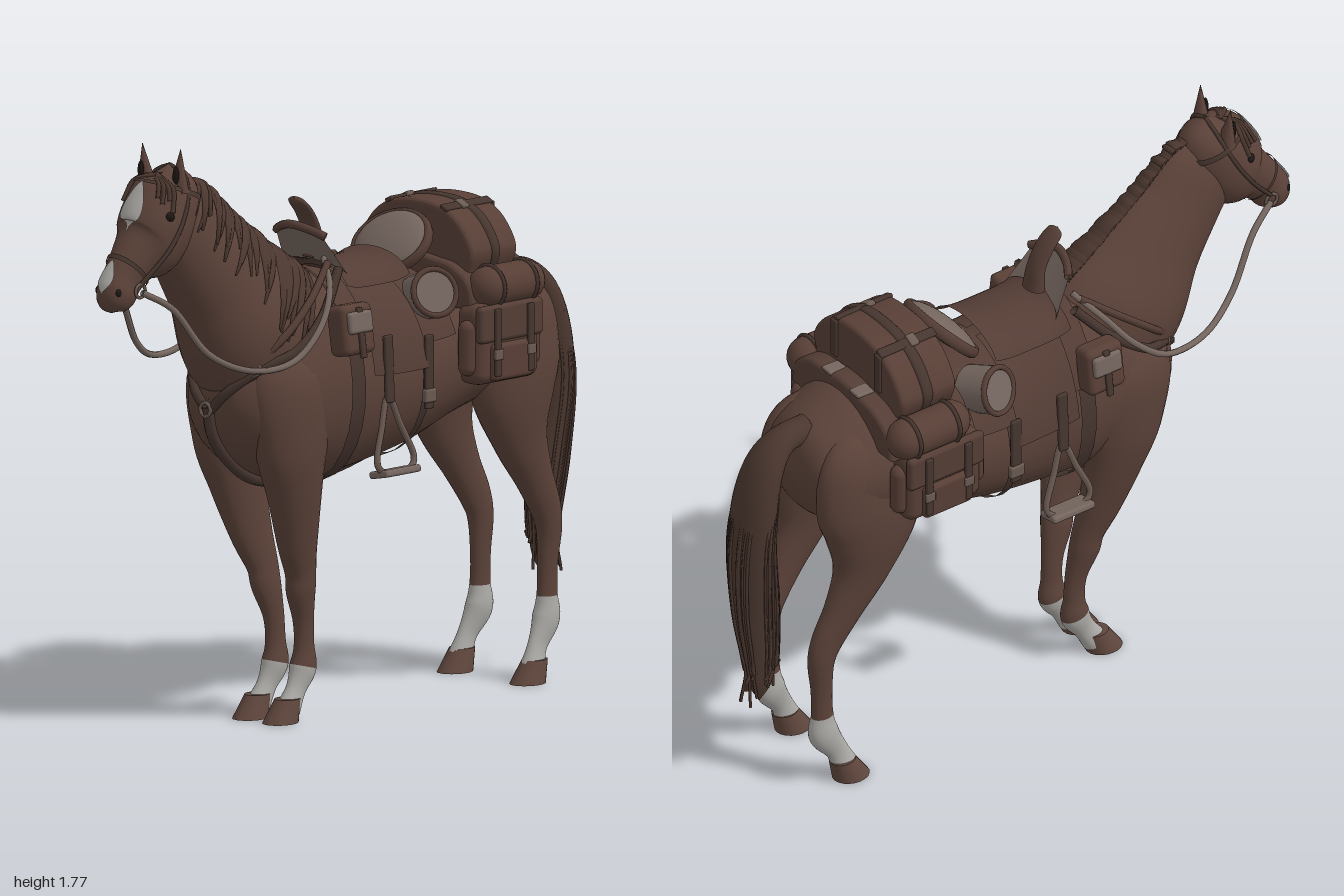
import * as THREE from 'three';
import { mergeVertices } from 'three/addons/utils/BufferGeometryUtils.js';
import { RoundedBoxGeometry } from 'three/addons/geometries/RoundedBoxGeometry.js';

const mat = (name, color, side = THREE.FrontSide) => Object.assign(new THREE.MeshStandardMaterial({ color, side }), { name });
const V = (x, y, z) => new THREE.Vector3(x, y, z);

// surface from a rule f(p, q), both 0..1
function grid(f, np, nq) {
  const pos = [], idx = [];
  for (let i = 0; i <= np; i++) for (let j = 0; j <= nq; j++) pos.push(...f(i / np, j / nq));
  for (let i = 0; i < np; i++) for (let j = 0; j < nq; j++) {
    const a = i * (nq + 1) + j, b = a + nq + 1;
    idx.push(a, a + 1, b, a + 1, b + 1, b);
  }
  let g = new THREE.BufferGeometry();
  g.setAttribute('position', new THREE.Float32BufferAttribute(pos, 3));
  g.setIndex(idx);
  g = mergeVertices(g, 1e-5);
  g.computeVertexNormals();
  return g;
}

// smooth limb through sections [x, y, z, half width, half depth]; u counts sections
function limb(sections, { egg = 0, slices = false } = {}) {
  const n = sections.length - 1;
  const path = new THREE.CatmullRomCurve3(sections.map(s => V(s[0], s[1], s[2])), false, 'catmullrom', 0.5);
  const size = new THREE.CatmullRomCurve3(sections.map(s => V(s[3], s[4], 0)), false, 'catmullrom', 0.5);
  const at = (u, th, d = 0) => {
    const t = Math.min(1, Math.max(0, u / n)), c = path.getPoint(t), r = size.getPoint(t);
    const T = slices ? V(0, 0, -1) : path.getTangent(t).setX(0).normalize();
    const a = Math.max(r.x, 0.0005) + d, b = Math.max(r.y, 0.0005) + d, k = b * Math.cos(th);
    return [c.x + a * Math.sin(th) * (1 - egg * Math.cos(th)), c.y - T.z * k, c.z + T.y * k];
  };
  const uAtZ = z => {
    let lo = 0, hi = n;
    for (let i = 0; i < 30; i++) { const m = (lo + hi) / 2; if (path.getPoint(m / n).z > z) lo = m; else hi = m; }
    return lo;
  };
  const skin = (u0 = 0, u1 = n, d = 0, t0 = 0, t1 = 2 * Math.PI) =>
    grid((p, q) => at(u0 + (u1 - u0) * p, t0 + (t1 - t0) * q, d), Math.max(3, Math.ceil((u1 - u0) * 6)), 28);
  return { at, uAtZ, skin, n };
}

export function createModel() {
  const D = THREE.DoubleSide;
  const coat = mat('coat', 0x5b4239), hair = mat('hair', 0x4b372f, D), white = mat('whiteMarking', 0xaba9a5, D);
  const hoofM = mat('hoof', 0x5f463d), leather = mat('leather', 0x543d35, D), dark = mat('darkLeather', 0x46352f, D);
  const canvas = mat('canvas', 0x75665f, D), bag = mat('bagLeather', 0x583f36), metal = mat('metal', 0x6a5a52), black = mat('black', 0x1d1714);
  const horse = new THREE.Group();
  horse.name = 'saddledHorse';
  const add = (name, geo, m, x = 0, y = 0, z = 0, rx = 0, ry = 0, rz = 0) => {
    const o = new THREE.Mesh(geo, m);
    o.name = name; o.position.set(x, y, z); o.rotation.set(rx, ry, rz);
    horse.add(o);
    return o;
  };
  const tube = (name, pts, r, m, closed = false) =>
    add(name, new THREE.TubeGeometry(new THREE.CatmullRomCurve3(pts.map(p => V(...p)), closed), pts.length * 6, r, 7, closed), m);
  const box = (name, w, h, l, r, m, ...at) => add(name, new RoundedBoxGeometry(w, h, l, 3, r), m, ...at);
  let seed = 7;
  const rnd = () => (seed = (seed * 16807) % 2147483647) / 2147483647;

  // trunk, neck and head
  const body = limb([
    [0, 0.99, 0.545, 0.001, 0.001], [0, 0.99, 0.525, 0.09, 0.10], [0, 0.985, 0.46, 0.16, 0.185], [0, 0.99, 0.36, 0.19, 0.25],
    [0, 1.01, 0.2, 0.205, 0.31], [0, 1.0, 0, 0.215, 0.28], [0, 1.01, -0.2, 0.225, 0.25], [0, 1.045, -0.38, 0.225, 0.225],
    [0, 1.075, -0.55, 0.235, 0.215], [0, 1.07, -0.68, 0.21, 0.18], [0, 1.07, -0.76, 0.15, 0.125], [0, 1.08, -0.8, 0.001, 0.001],
  ], { egg: 0.08, slices: true });
  add('trunk', body.skin(), coat);
  const neck = limb([
    [0, 1.08, 0.27, 0.15, 0.24], [0, 1.2, 0.39, 0.165, 0.235], [0, 1.34, 0.505, 0.125, 0.185],
    [0, 1.45, 0.605, 0.1, 0.155], [0, 1.54, 0.68, 0.085, 0.135], [0, 1.6, 0.73, 0.065, 0.09],
  ], { egg: -0.12 });
  add('neck', neck.skin(), coat);
  const head = limb([
    [0, 1.712, 0.715, 0.001, 0.001], [0, 1.655, 0.718, 0.08, 0.095], [0, 1.565, 0.758, 0.102, 0.12], [0, 1.49, 0.805, 0.098, 0.115],
    [0, 1.445, 0.865, 0.07, 0.08], [0, 1.395, 0.915, 0.055, 0.066], [0, 1.35, 0.945, 0.056, 0.062], [0, 1.315, 0.962, 0.04, 0.04], [0, 1.3, 0.965, 0.001, 0.001],
  ]);
  add('head', head.skin(), coat);
  // face markings follow the front of the head
  const marking = (name, u0, u1, w) => add(name, grid((p, q) =>
    head.at(u0 + (u1 - u0) * p, Math.PI + w * (2 * q - 1) * Math.sin(Math.PI * Math.min(0.97, p + 0.03)) ** 0.9, 0.005), 18, 8), white);
  marking('foreheadBlaze', 1.3, 3.7, 0.38);
  marking('noseSnip', 4.75, 6.4, 0.45);

  for (const s of [1, -1]) {
    const side = s > 0 ? 'left' : 'right';
    // ears, eyes and nostrils
    const ear = add(side + 'Ear', new THREE.ConeGeometry(0.034, 0.13, 12), coat, s * 0.07, 1.705, 0.745, 0.05, 0, -s * 0.1);
    ear.scale.z = 0.75;
    add(side + 'InnerEar', new THREE.SphereGeometry(0.014, 10, 8), black, s * 0.07, 1.69, 0.762).scale.set(0.8, 2, 0.5);
    add(side + 'Eye', new THREE.SphereGeometry(0.015, 12, 8), black, s * 0.088, 1.575, 0.808);
    add(side + 'Nostril', new THREE.SphereGeometry(0.011, 10, 8), black, s * 0.04, 1.365, 0.975).scale.set(0.8, 1.2, 1);

    // legs with white socks and hooves
    const fore = limb([
      [s * 0.1, 1.16, 0.3, 0.001, 0.001], [s * 0.12, 1.05, 0.33, 0.075, 0.15], [s * 0.125, 0.85, 0.325, 0.078, 0.135], [s * 0.115, 0.7, 0.3, 0.064, 0.1],
      [s * 0.094, 0.55, 0.265, 0.046, 0.076], [s * 0.077, 0.45, 0.235, 0.037, 0.056], [s * 0.07, 0.39, 0.226, 0.036, 0.052], [s * 0.06, 0.3, 0.205, 0.026, 0.037],
      [s * 0.057, 0.22, 0.199, 0.025, 0.035], [s * 0.056, 0.155, 0.203, 0.034, 0.046], [s * 0.058, 0.095, 0.235, 0.025, 0.035], [s * 0.06, 0.04, 0.27, 0.034, 0.04],
    ]);
    const hind = limb([
      [s * 0.1, 1.24, -0.56, 0.001, 0.001], [s * 0.13, 1.15, -0.58, 0.07, 0.16], [s * 0.145, 1.0, -0.595, 0.085, 0.185], [s * 0.15, 0.87, -0.6, 0.08, 0.155],
      [s * 0.15, 0.74, -0.63, 0.06, 0.1], [s * 0.146, 0.62, -0.69, 0.044, 0.068], [s * 0.14, 0.52, -0.745, 0.036, 0.055], [s * 0.137, 0.45, -0.765, 0.033, 0.044],
      [s * 0.134, 0.35, -0.762, 0.026, 0.035], [s * 0.134, 0.26, -0.76, 0.026, 0.035], [s * 0.134, 0.185, -0.755, 0.034, 0.048],
      [s * 0.14, 0.11, -0.712, 0.023, 0.035], [s * 0.145, 0.045, -0.685, 0.034, 0.042],
    ]);
    for (const [name, leg, cut, x, z] of [['Fore', fore, 8.95, 0.06, 0.288], ['Hind', hind, 9.1, 0.145, -0.68]]) {
      add(side + name + 'Leg', leg.skin(0, cut), coat);
      add(side + name + 'Sock', leg.skin(cut, leg.n), white);
      const hoof = new THREE.CylinderGeometry(0.035, 0.049, 0.068, 20), p = hoof.attributes.position;
      for (let i = 0; i < p.count; i++) p.setZ(i, p.getZ(i) * 1.2 - p.getY(i) * 0.45);
      hoof.computeVertexNormals();
      add(side + name + 'Hoof', hoof, hoofM, s * x, 0.038, z);
    }

    // bridle and reins
    tube(side + 'CheekStrap', [[0, 1.708, 0.712], [s * 0.055, 1.685, 0.712], [s * 0.085, 1.64, 0.725], [s * 0.103, 1.56, 0.765], [s * 0.099, 1.48, 0.82], [s * 0.062, 1.385, 0.9]], 0.007, dark);
    add(side + 'BitRing', new THREE.TorusGeometry(0.02, 0.005, 8, 18), metal, s * 0.062, 1.365, 0.905, 0, Math.PI / 2);
    tube(side + 'Rein', [[s * 0.064, 1.36, 0.9], [s * 0.1, 1.305, 0.81], [s * 0.145, 1.16, 0.7], [s * 0.195, 1.1, 0.57], [s * 0.222, 1.11, 0.42],
      [s * 0.22, 1.2, 0.3], [s * 0.18, 1.3, 0.22], [s * 0.1, 1.37, 0.16]], 0.01, canvas);

    // breast collar
    tube(side + 'BreastStrap', [[0, 0.95, 0.548], [s * 0.06, 1.01, 0.54], [s * 0.13, 1.08, 0.475], [s * 0.185, 1.13, 0.37], [s * 0.18, 1.22, 0.25], [s * 0.14, 1.34, 0.14]], 0.015, dark);
    tube(side + 'ShoulderStrap', [[s * 0.12, 1.09, 0.49], [s * 0.172, 1.18, 0.4], [s * 0.168, 1.27, 0.29], [s * 0.125, 1.36, 0.17]], 0.012, leather);
    add(side + 'CollarRing', new THREE.TorusGeometry(0.018, 0.005, 8, 16), metal, s * 0.13, 1.085, 0.49, 0, s * 0.7);

    // saddle flap, straps and stirrup
    const t = s > 0 ? [0.1, 1.5] : [-1.5, -0.1];
    add(side + 'SaddleFlap', body.skin(body.uAtZ(0.09), body.uAtZ(-0.13), 0.03, ...t), leather);
    box(side + 'StirrupLeather', 0.014, 0.2, 0.035, 0.005, dark, s * 0.238, 1.04, 0.03, 0, 0, s * 0.04);
    box(side + 'RearStrap', 0.014, 0.22, 0.035, 0.005, dark, s * 0.24, 1.01, -0.14);
    box(side + 'RearBuckle', 0.02, 0.04, 0.05, 0.006, metal, s * 0.243, 0.94, -0.14);
    tube(side + 'Stirrup', [[s * 0.235, 0.96, 0.03], [s * 0.248, 0.87, 0.07], [s * 0.266, 0.77, 0.108], [s * 0.27, 0.745, 0.09],
      [s * 0.27, 0.745, -0.03], [s * 0.266, 0.77, -0.048], [s * 0.248, 0.87, -0.01]], 0.01, metal, true);
    box(side + 'StirrupTread', 0.075, 0.022, 0.15, 0.008, canvas, s * 0.264, 0.738, 0.03, 0, 0, s * 0.2);

    // pommel pouch
    box(side + 'PommelPouch', 0.075, 0.15, 0.13, 0.02, bag, s * 0.222, 1.175, 0.175, 0, 0, s * 0.15);
    box(side + 'PouchFlap', 0.03, 0.065, 0.1, 0.01, canvas, s * 0.253, 1.2, 0.175, 0, 0, s * 0.15);
    box(side + 'PouchStrap', 0.012, 0.15, 0.022, 0.004, dark, s * 0.264, 1.17, 0.175, 0, 0, s * 0.15);

    // rolled blanket with its pale end turned outward
    const roll = new THREE.Group();
    roll.name = side + 'SmallRoll';
    const barrel = new THREE.Mesh(new THREE.CylinderGeometry(0.073, 0.07, 0.11, 24), canvas);
    const barrelRim = new THREE.Mesh(new THREE.TorusGeometry(0.069, 0.009, 8, 28).rotateX(Math.PI / 2).translate(0, 0.053, 0), leather);
    barrel.name = 'rolledBlanket'; barrelRim.name = 'rollRim';
    roll.add(barrel, barrelRim);
    roll.position.set(s * 0.172, 1.22, -0.205);
    roll.quaternion.setFromUnitVectors(V(0, 1, 0), V(s * 0.86, 0.3, 0.32).normalize());
    horse.add(roll);

    // saddlebag with flap, pocket and straps
    add(side + 'SideRoll', new THREE.CapsuleGeometry(0.062, 0.155, 6, 18), bag, s * 0.248, 1.23, -0.462, Math.PI / 2);
    for (const z of [-0.39, -0.53]) add(side + 'SideRollStrap', new THREE.TorusGeometry(0.063, 0.007, 6, 22), dark, s * 0.248, 1.23, z);
    box(side + 'Saddlebag', 0.1, 0.24, 0.27, 0.035, bag, s * 0.246, 1.068, -0.43);
    box(side + 'SaddlebagFlap', 0.03, 0.11, 0.27, 0.014, leather, s * 0.291, 1.13, -0.43);
    box(side + 'SaddlebagPocket', 0.035, 0.11, 0.17, 0.014, bag, s * 0.296, 1.015, -0.43);
    for (const z of [-0.36, -0.5]) {
      box(side + 'BagStrap', 0.012, 0.2, 0.024, 0.004, dark, s * 0.311, 1.075, z);
      box(side + 'BagBuckle', 0.012, 0.03, 0.034, 0.004, metal, s * 0.315, 1.04, z);
    }
    for (const z of [-0.295, -0.565]) add(side + 'SidePocket', new THREE.CapsuleGeometry(0.028, 0.11, 5, 12), bag, s * 0.25, 1.06, z);
    box(side + 'PackTie', 0.045, 0.012, 0.06, 0.005, canvas, s * 0.07, 1.31, -0.572, 0.05);
  }

  // bridle bands around the head
  add('browband', head.skin(1.14, 1.3, 0.005), dark);
  add('noseband', head.skin(4.5, 4.68, 0.005), dark);
  // chest strap running to the girth
  tube('chestStrap', [[0, 0.97, 0.55], [0, 0.88, 0.53], [0, 0.8, 0.465], [0, 0.735, 0.37], [0, 0.695, 0.2]], 0.019, dark);
  add('chestRing', new THREE.TorusGeometry(0.02, 0.006, 8, 18), metal, 0, 0.96, 0.56);
  add('girth', body.skin(body.uAtZ(0.165), body.uAtZ(0.11), 0.012), dark);
  add('rearGirth', body.skin(body.uAtZ(-0.125), body.uAtZ(-0.155), 0.01), dark);
  tube('girthLink', [[0, 0.7, 0.14], [0, 0.712, 0], [0, 0.742, -0.14]], 0.014, dark);

  // saddle
  add('saddlePad', body.skin(body.uAtZ(0.17), body.uAtZ(-0.27), 0.02, -1.25, 1.25), leather);
  add('saddleSeat', grid((p, q) => {
    const th = (q - 0.5) * 2.6;
    return [0.16 * Math.sin(th), 1.25 + 0.09 * Math.cos(th) + 0.015 * (2 * p - 1) ** 4, 0.12 - 0.27 * p];
  }, 14, 18), leather);
  add('pommelPlate', grid((p, q) => {
    const th = (q - 0.5) * 2.8;
    return [(0.125 - 0.03 * p) * Math.sin(th), 1.31 + 0.11 * p + 0.04 * Math.cos(th), 0.08 + 0.07 * p + 0.035 * Math.cos(th)];
  }, 6, 22), canvas);
  tube('pommelRim', [-1, -0.6, 0, 0.6, 1].map(k => [0.098 * k, 1.43 + 0.03 * (1 - k * k), 0.15 + 0.035 * (1 - k * k)]), 0.013, leather);
  const horn = limb([[0, 1.36, 0.095, 0.04, 0.03], [0, 1.43, 0.105, 0.035, 0.022], [0, 1.49, 0.135, 0.036, 0.016], [0, 1.53, 0.172, 0.03, 0.012], [0, 1.54, 0.182, 0.001, 0.001]]);
  add('saddleHorn', horn.skin(), leather);
  add('cantle', new THREE.SphereGeometry(1, 26, 16), canvas, 0, 1.355, -0.235, -Math.PI / 4).scale.set(0.13, 0.11, 0.035);
  add('cantleRim', new THREE.TorusGeometry(1, 0.09, 8, 32), leather, 0, 1.352, -0.238, -Math.PI / 4).scale.set(0.13, 0.11, 0.2);

  // packs arched over the croup
  const arch = (name, pts, z, depth, m) => {
    const half = pts.map(([x, y]) => new THREE.Vector2(x, y)), shape = new THREE.Shape();
    const all = [...half, new THREE.Vector2(0, pts[pts.length - 1][1] + 0.01), ...half.map(v => new THREE.Vector2(-v.x, v.y)).reverse()];
    shape.moveTo(all[0].x, all[0].y);
    shape.splineThru(all.slice(1));
    add(name, new THREE.ExtrudeGeometry(shape, { depth, bevelSize: 0.015, bevelThickness: 0.015, bevelSegments: 3, curveSegments: 30 }), m, 0, 0, z);
  };
  arch('topPack', [[-0.195, 1.28], [-0.208, 1.335], [-0.16, 1.405], [-0.09, 1.443]], -0.525, 0.17, bag);
  arch('lowerPack', [[-0.235, 1.18], [-0.22, 1.24], [-0.16, 1.28], [-0.09, 1.292]], -0.585, 0.26, leather);
  for (const x of [-0.11, 0.11]) {
    box('packStrap', 0.03, 0.014, 0.2, 0.005, dark, x, 1.452, -0.44, 0, 0, -Math.sign(x) * 0.45);
    box('packStrapEnd', 0.03, 0.13, 0.012, 0.005, dark, x, 1.385, -0.542);
    box('packBuckle', 0.04, 0.016, 0.03, 0.005, metal, x, 1.455, -0.42, 0, 0, -Math.sign(x) * 0.45);
  }
  arch('packBand', [[-0.2, 1.28], [-0.214, 1.337], [-0.165, 1.41], [-0.09, 1.449]], -0.45, 0.012, dark);

  // mane locks draped over the left of the neck
  for (let k = 0; k < 28; k++) {
    const u = 0.6 + k * 0.16, drop = 0.95 + 0.75 * rnd(), slant = 0.1 + 0.55 * rnd(), w = 0.17 + 0.1 * rnd(), lift = 0.008 + 0.012 * rnd();
    add('maneLock', grid((p, q) => neck.at(
      u - slant * p * p + w * (q - 0.5) * 2 * (1 - p * p), Math.PI + 0.2 - drop * p * 1.15,
      lift * (1 - (2 * q - 1) ** 2 * 0.7)), 12, 5), hair);
  }
  // forelock parted to both sides of the brow
  for (let k = 0; k < 8; k++) {
    const f = (k - 3.5) / 3.5, w = Math.sign(f) * (0.55 + 0.55 * Math.abs(f)), u = 1.7 + 0.35 * rnd();
    tube('forelock', [head.at(0.45, Math.PI + 0.3 * f), head.at(0.9, Math.PI - 0.6 * w, 0.003), head.at(1.3, Math.PI - 0.9 * w, 0.004), head.at(u, Math.PI - 1.05 * w, 0.003)], 0.007, hair);
  }

  // tail with loose strands
  const tail = limb([
    [0, 1.2, -0.72, 0.04, 0.045], [0, 1.19, -0.81, 0.05, 0.04], [0, 1.12, -0.872, 0.07, 0.05], [0, 0.98, -0.908, 0.082, 0.06], [0, 0.8, -0.918, 0.072, 0.066],
    [0, 0.6, -0.9, 0.05, 0.07], [0, 0.44, -0.885, 0.034, 0.055], [0, 0.34, -0.885, 0.022, 0.038], [0, 0.28, -0.89, 0.001, 0.001],
  ]);
  add('tail', tail.skin(), hair);
  for (let k = 0; k < 34; k++) {
    const th = rnd() * 6.283, len = 0.27 + 0.2 * rnd(), at = (u, d) => tail.at(u, th, d);
    const tip = at(6.4, 0.002);
    tube('tailStrand', [at(2.4, -0.004), at(3.6, 0.001), at(4.8, 0.003), at(5.7, 0.003), tip, [tip[0], len, tip[2] - 0.02 + 0.035 * rnd()]], 0.0045, hair);
  }
  return horse;
}
